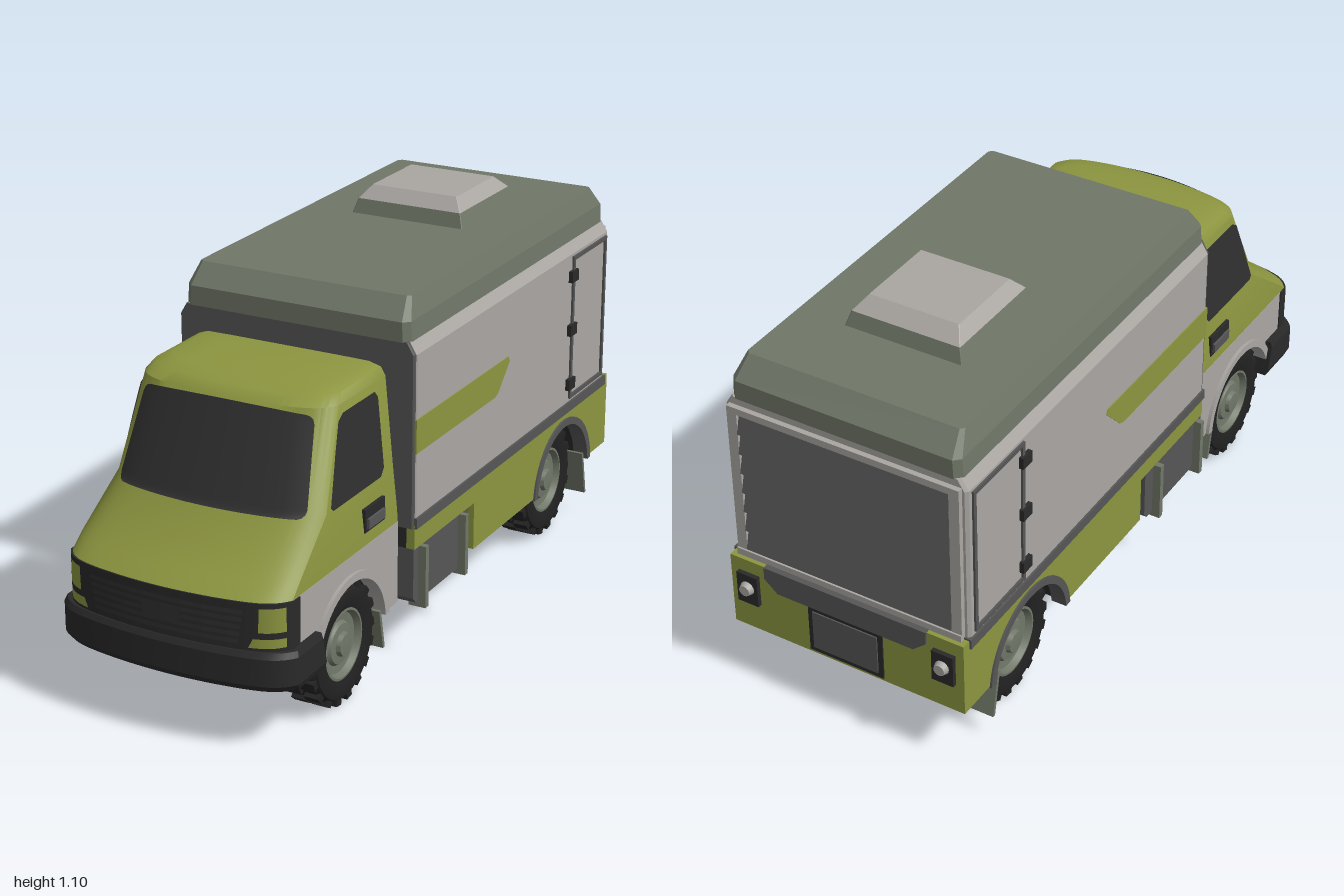
import * as THREE from 'three';
import { toCreasedNormals } from 'three/addons/utils/BufferGeometryUtils.js';

const mat = (name, color, side = THREE.FrontSide) => {
  const m = new THREE.MeshStandardMaterial({ color, side });
  m.name = name;
  return m;
};

export function createModel() {
  const lime = mat('lime paint', 0x8d9640), light = mat('light grey', 0xaaa7a3), sage = mat('sage grey', 0x707768);
  const dark = mat('dark grey', 0x565656), black = mat('black trim', 0x2a2a2a), rubber = mat('rubber', 0x222222);
  const glass = mat('glass', 0x303030, THREE.DoubleSide);
  const model = new THREE.Group();
  model.name = 'boxTruck';

  const add = (name, geo, m, parent = model) => {
    const mesh = new THREE.Mesh(geo, m);
    mesh.name = name;
    parent.add(mesh);
    return mesh;
  };
  const box = (name, m, x0, x1, y0, y1, z0, z1, parent) => {
    const g = new THREE.BoxGeometry(x1 - x0, y1 - y0, z1 - z0);
    g.translate((x0 + x1) / 2, (y0 + y1) / 2, (z0 + z1) / 2);
    return add(name, g, m, parent);
  };
  const shapeOf = pts => new THREE.Shape(pts.map(p => new THREE.Vector2(...p)));
  // Side profile in (z, y), extruded across x
  const slab = (name, m, shape, x0, x1) => {
    const g = new THREE.ExtrudeGeometry(shape, { depth: x1 - x0, bevelEnabled: false, curveSegments: 20 });
    g.rotateY(-Math.PI / 2).translate(x1, 0, 0);
    return add(name, g, m);
  };
  const pair = fn => [1, -1].forEach(s => fn(s, (a, b) => (s > 0 ? [a, b] : [-b, -a]), s > 0 ? 'left' : 'right'));
  // Skin over stacked horizontal rings, closed top and bottom
  const loft = (name, m, rings, crease = 0.5) => {
    const n = rings[0].length, pos = rings.flat(2), idx = [];
    for (let r = 0; r < rings.length - 1; r++) for (let i = 0; i < n; i++) {
      const a = r * n + i, b = r * n + (i + 1) % n;
      idx.push(a, b, b + n, a, b + n, a + n);
    }
    [[0, 1], [rings.length - 1, 0]].forEach(([r, flip]) => {
      const c = pos.length / 3, ring = rings[r];
      const mz = ring.reduce((t, p) => t + p[2], 0) / n;
      pos.push(0, ring[0][1], mz);
      for (let i = 0; i < n; i++) {
        const a = r * n + i, b = r * n + (i + 1) % n;
        idx.push(c, flip ? b : a, flip ? a : b);
      }
    });
    const g = new THREE.BufferGeometry();
    g.setAttribute('position', new THREE.Float32BufferAttribute(pos, 3));
    g.setIndex(idx);
    return add(name, toCreasedNormals(g, crease), m);
  };
  // Rectangle ring with cut corners
  const rect = (y, w, z0, z1, c) => [[-w + c, y, z1], [w - c, y, z1], [w, y, z1 - c], [w, y, z0 + c],
    [w - c, y, z0], [-w + c, y, z0], [-w, y, z0 + c], [-w, y, z1 - c]];

  // Cab surface: [height, nose z, half width, back z]
  const levels = [[0.28, 0.985, 0.327, 0.345], [0.42, 0.985, 0.327, 0.345], [0.455, 0.945, 0.325, 0.345],
    [0.575, 0.785, 0.312, 0.345], [0.825, 0.68, 0.288, 0.345], [0.848, 0.645, 0.276, 0.348],
    [0.86, 0.6, 0.245, 0.355], [0.867, 0.55, 0.16, 0.37]];
  const at = (y, k) => {
    const i = Math.max(1, levels.findIndex(l => l[0] >= y)), a = levels[i - 1], b = levels[i];
    return a[k] + (b[k] - a[k]) * (y - a[0]) / (b[0] - a[0]);
  };
  const bow = t => 0.045 * t * t + 0.04 * Math.abs(t) ** 12;
  const cabRing = (y, zc, w, zb) => {
    const ring = [];
    for (let i = 0; i <= 28; i++) {
      const t = Math.sin((i / 28 - 0.5) * Math.PI);
      ring.push([t * w, y, zc - bow(t)]);
    }
    ring.push([w, y, zb], [-w, y, zb]);
    return ring;
  };
  loft('cabShell', lime, levels.slice(1).map(l => cabRing(...l)), 0.6);
  loft('noseSurround', black, [cabRing(0.28, 0.989, 0.331, 0.87), cabRing(0.42, 0.989, 0.331, 0.87)]);
  loft('frontBumper', black, [cabRing(0.18, 0.985, 0.342, 0.77), cabRing(0.2, 1, 0.35, 0.77),
    cabRing(0.275, 1, 0.35, 0.79), cabRing(0.29, 0.992, 0.345, 0.79)], 0.3);

  // Thin panel that follows the curved cab front; r rounds its corners
  const frontPatch = (name, m, yb, yt, xb, xt, off, r = 0, arch = 0) => {
    const g = new THREE.PlaneGeometry(1, 1, 20, 16), p = g.attributes.position;
    for (let i = 0; i < p.count; i++) {
      const u = p.getX(i) + 0.5, v = 0.5 - 0.5 * Math.cos((p.getY(i) + 0.5) * Math.PI);
      const edge = Math.min(v, 1 - v) * (yt - yb);
      const cut = edge < r ? r - Math.sqrt(r * r - (r - edge) ** 2) : 0;
      const l = xb[0] + (xt[0] - xb[0]) * v + cut, h = xb[1] + (xt[1] - xb[1]) * v - cut;
      const x = l + (h - l) * u;
      const y = yb + (yt - yb) * v + arch * v * (1 - (x / 0.26) ** 2);
      p.setXYZ(i, x, y, at(y, 1) - bow(x / at(y, 2)) + off);
    }
    g.computeVertexNormals();
    add(name, g, m);
  };
  frontPatch('windscreen', glass, 0.57, 0.808, [-0.28, 0.28], [-0.252, 0.252], 0.006, 0.02, 0.015);
  for (let i = 0; i < 5; i++) {
    const y = 0.308 + i * 0.02, w = 0.213 + i * 0.003;
    frontPatch('grilleSlat', glass, y, y + 0.012, [-w, w], [-w, w], 0.009);
  }
  frontPatch('frontPlate', glass, 0.34, 0.375, [-0.055, 0.055], [-0.055, 0.055], 0.012);
  pair((s, sp, side) => {
    frontPatch(side + 'Headlamp', lime, 0.342, 0.408, sp(0.263, 0.324), sp(0.265, 0.324), 0.009);
    frontPatch(side + 'Indicator', lime, 0.3, 0.325, sp(0.238, 0.324), sp(0.25, 0.324), 0.009);
  });

  // Lower cab sides and body skirts, with wheel arches cut out
  const R = 0.19, wy = 0.17, frontZ = 0.61, rearZ = -0.65;
  const arched = (pts, zc, y0) => {
    const s = new THREE.Shape(), a = Math.asin((y0 - wy) / R), dx = R * Math.cos(a);
    s.moveTo(zc - dx, y0);
    s.absarc(zc, wy, R, Math.PI - a, a, true);
    pts.forEach(p => s.lineTo(...p));
    s.closePath();
    return s;
  };
  const cabSide = arched([[0.88, 0.185], [0.9, 0.42], [0.345, 0.42], [0.345, 0.185]], frontZ, 0.185);
  const skirt = arched([[-0.05, 0.19], [-0.05, 0.33], [0.31, 0.33], [0.31, 0.4], [-0.96, 0.4], [-0.96, 0.19]], rearZ, 0.19);
  const flare = zc => {
    const s = new THREE.Shape();
    s.absarc(zc, wy, R + 0.012, 0.08, Math.PI - 0.08, false);
    s.absarc(zc, wy, R - 0.01, Math.PI - 0.08, 0.08, true);
    return s;
  };
  const win = shapeOf([[0.685, 0.582], [0.675, 0.572], [0.42, 0.572], [0.4, 0.592], [0.4, 0.785], [0.415, 0.803],
    [0.585, 0.803], [0.61, 0.788], [0.64, 0.71]]);
  const door = shapeOf([[-0.68, 0.43], [-0.68, 0.872], [-0.92, 0.872], [-0.92, 0.43]]);
  door.holes.push(shapeOf([[-0.692, 0.442], [-0.908, 0.442], [-0.908, 0.86], [-0.692, 0.86]]));
  const stripe = shapeOf([[0.31, 0.605], [0.31, 0.7], [-0.25, 0.7], [-0.258, 0.685], [-0.185, 0.612], [-0.165, 0.605]]);
  const locker = shapeOf([[0.31, 0.185], [0.31, 0.335], [-0.02, 0.335], [-0.02, 0.185], [-0.005, 0.168], [0.295, 0.168]]);

  pair((s, sp, side) => {
    slab(side + 'CabLowerPanel', light, cabSide, ...sp(0.305, 0.328));
    slab(side + 'CabInnerArch', black, cabSide, ...sp(0.2, 0.305));
    slab(side + 'FrontArchFlare', light, flare(frontZ), ...sp(0.29, 0.338));
    slab(side + 'Skirt', lime, skirt, ...sp(0.335, 0.36));
    slab(side + 'SkirtInnerArch', black, skirt, ...sp(0.2, 0.335));
    slab(side + 'RearArchFlare', dark, flare(rearZ), ...sp(0.32, 0.366));
    slab(side + 'SideDoorFrame', dark, door, ...sp(0.356, 0.366));
    slab(side + 'Stripe', lime, stripe, ...sp(0.356, 0.363));
    slab(side + 'Locker', dark, locker, ...sp(0.2, 0.357));
    box(side + 'BodyRail', dark, ...sp(0.33, 0.366), 0.39, 0.42, -0.945, 0.31);
    [0.48, 0.65, 0.815].forEach(y => box(side + 'DoorHinge', black, ...sp(0.355, 0.373), y - 0.017, y + 0.017, -0.7, -0.657));
    [0.275, 0.035].forEach(z => box(side + 'LockerStrap', sage, ...sp(0.33, 0.381), 0.152, 0.332, z - 0.009, z + 0.009));

    // Side window and door handle
    const g = new THREE.ShapeGeometry(win), p = g.attributes.position;
    for (let i = 0; i < p.count; i++) {
      const z = p.getX(i), y = p.getY(i);
      p.setXYZ(i, s * (at(y, 2) + 0.004), y, z);
    }
    g.computeVertexNormals();
    add(side + 'SideWindow', g, glass);
    box(side + 'HandleRecess', black, ...sp(0.31, 0.328), 0.455, 0.52, 0.418, 0.527);
    box(side + 'DoorHandle', dark, ...sp(0.315, 0.335), 0.465, 0.492, 0.428, 0.517);

    // Mud flaps
    slab(side + 'FrontMudFlap', sage, shapeOf([[0.42, 0.085], [0.43, 0.085], [0.452, 0.2], [0.442, 0.2]]), ...sp(0.19, 0.33));
    slab(side + 'RearMudFlap', sage, shapeOf([[-0.838, 0.072], [-0.828, 0.072], [-0.8, 0.21], [-0.81, 0.21]]), ...sp(0.2, 0.36));

    // Tail lamps
    box(side + 'TailLampHousing', black, ...sp(0.27, 0.335), 0.28, 0.375, -0.985, -0.96);
    const lamp = new THREE.CylinderGeometry(0.016, 0.023, 0.02, 16);
    lamp.rotateX(-Math.PI / 2).translate(s * 0.302, 0.332, -0.99);
    add(side + 'TailLamp', lamp, light);
  });

  // Floors, chassis and cab rear
  box('cabFloor', black, -0.21, 0.21, 0.185, 0.42, 0.35, 0.88);
  box('cabRearPanel', lime, -0.325, 0.325, 0.185, 0.43, 0.343, 0.35);
  box('bodyFloor', black, -0.21, 0.21, 0.19, 0.41, -0.96, -0.05);
  box('chassisFrame', black, -0.33, 0.33, 0.335, 0.41, -0.05, 0.3);
  box('chassisTongue', black, -0.12, 0.12, 0.32, 0.4, 0.2, 0.345);

  // Cargo body, roof and roof hatch
  loft('cargoBody', light, [rect(0.4, 0.36, -0.94, 0.31, 0.008), rect(0.88, 0.36, -0.94, 0.31, 0.008),
    rect(0.912, 0.34, -0.94, 0.31, 0.008)], 0.1);
  loft('frontBulkhead', dark, [rect(0.39, 0.357, 0.3, 0.315, 0.004), rect(0.88, 0.357, 0.3, 0.315, 0.004),
    rect(0.912, 0.338, 0.3, 0.315, 0.004)], 0.1);
  loft('roof', sage, [rect(0.91, 0.341, -0.942, 0.316, 0.018), rect(0.965, 0.338, -0.942, 0.316, 0.018),
    rect(1.023, 0.32, -0.89, 0.27, 0.01)], 0.1);
  loft('hatchBase', sage, [rect(1.02, 0.176, -0.667, -0.322, 0.002), rect(1.064, 0.162, -0.652, -0.336, 0.002)], 0.1);
  loft('hatchCover', light, [rect(1.064, 0.162, -0.652, -0.336, 0.002), rect(1.1, 0.134, -0.61, -0.37, 0.002)], 0.1);

  // Rear shutter with overlapping slats in a frame
  const teeth = [[-0.935, 0.87], [-0.935, 0.435]];
  for (let i = 0; i < 7; i++) {
    const y = 0.435 + i * 0.062;
    teeth.push([-0.958, y + 0.004], [-0.943, y + 0.062]);
  }
  slab('rearShutter', dark, shapeOf(teeth.reverse()), -0.315, 0.315);
  pair((s, sp, side) => box(side + 'ShutterFrame', light, ...sp(0.315, 0.345), 0.42, 0.885, -0.955, -0.93));
  box('shutterFrameTop', light, -0.345, 0.345, 0.87, 0.89, -0.955, -0.93);
  box('shutterSill', light, -0.345, 0.345, 0.415, 0.435, -0.96, -0.93);

  // Rear panel, step and plate
  box('rearPanel', lime, -0.36, 0.36, 0.19, 0.415, -0.972, -0.945);
  const step = new THREE.ExtrudeGeometry(shapeOf([[-0.21, 0.345], [0.21, 0.345], [0.25, 0.38], [0.25, 0.417], [-0.25, 0.417], [-0.25, 0.38]]),
    { depth: 0.03, bevelEnabled: false });
  step.translate(0, 0, -0.977);
  add('rearStep', step, dark);
  box('rearPlateRecess', black, -0.115, 0.115, 0.2, 0.345, -0.976, -0.96);
  box('rearPlate', dark, -0.1, 0.1, 0.215, 0.335, -0.98, -0.96);

  // Wheels: lathe tyre and rim plus staggered tread lugs
  const lathe = (pts, n) => toCreasedNormals(new THREE.LatheGeometry(pts.map(p => new THREE.Vector2(...p)), n).rotateZ(-Math.PI / 2), 0.5);
  const tyre = lathe([[0.098, -0.046], [0.13, -0.054], [0.148, -0.05], [0.158, -0.035], [0.158, 0.035], [0.148, 0.05],
    [0.13, 0.054], [0.098, 0.046]], 36);
  const rim = lathe([[0.1, 0.046], [0.092, 0.047], [0.084, 0.03], [0.062, 0.028], [0.055, 0.038], [0.034, 0.04],
    [0.03, 0.052], [0, 0.054]], 32);
  const back = new THREE.CylinderGeometry(0.1, 0.1, 0.07, 32).rotateZ(Math.PI / 2).translate(-0.008, 0, 0);
  const lug = new THREE.BoxGeometry(0.044, 0.022, 0.026);
  pair((s, sp, side) => [['Front', frontZ], ['Rear', rearZ]].forEach(([end, z]) => {
    const wheel = new THREE.Group();
    wheel.name = side + end + 'Wheel';
    add('tyre', tyre, rubber, wheel);
    add('rim', rim, sage, wheel);
    add('wheelBack', back, black, wheel);
    for (let i = 0; i < 36; i++) {
      const a = i / 36 * Math.PI * 2, m = add('treadLug', lug, rubber, wheel);
      m.position.set(i % 2 ? 0.024 : -0.024, Math.cos(a) * 0.158, Math.sin(a) * 0.158);
      m.rotation.x = a;
    }
    wheel.position.set(s * 0.265, wy, z);
    if (s < 0) wheel.rotation.y = Math.PI;
    model.add(wheel);
  }));
  return model;
}
